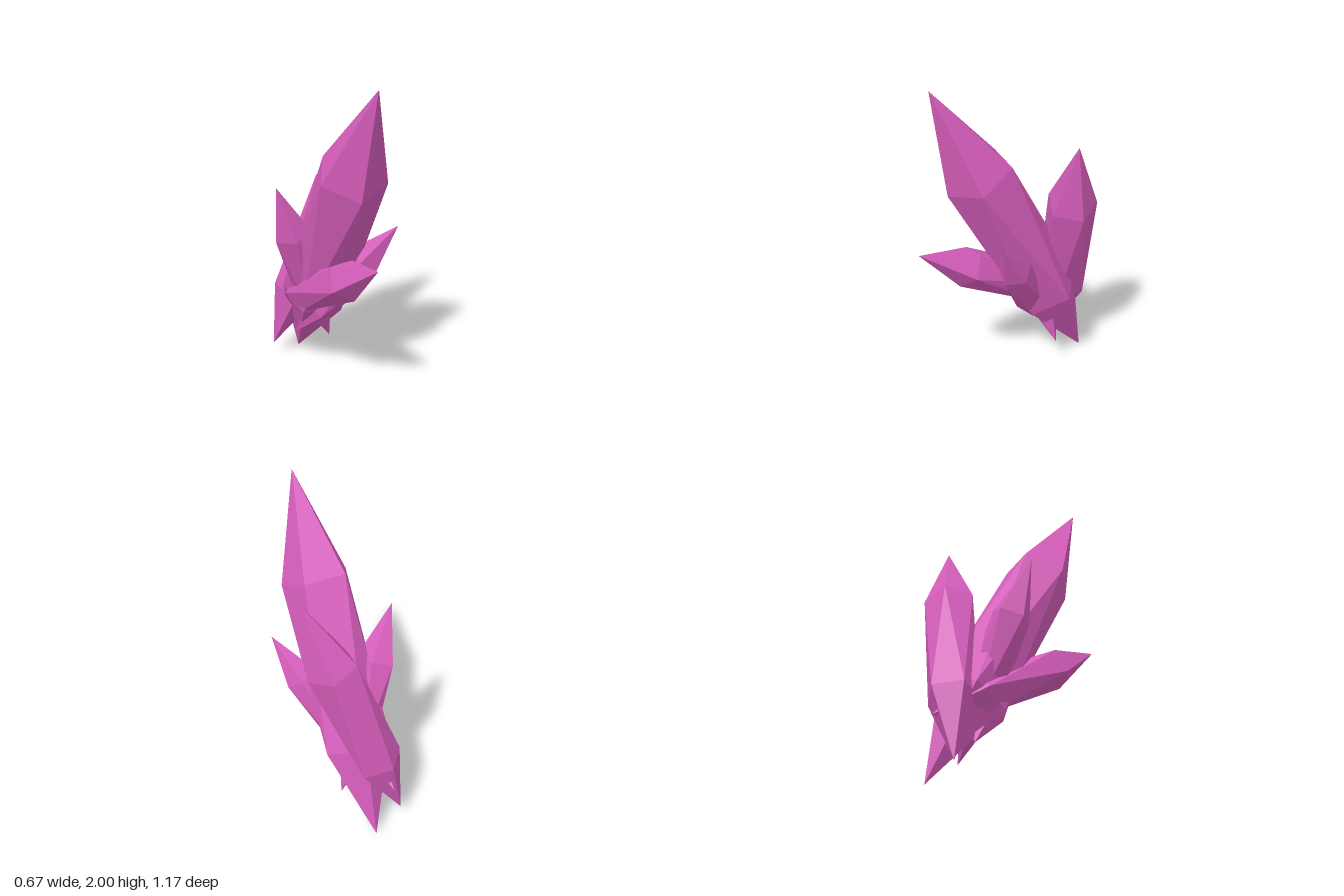
import * as THREE from 'three';

const SIDES = 5;
const RADIUS = 0.093; // ring radius relative to crystal length
const LOWER = 0.265, UPPER = 0.72; // ring positions along the axis

// Double-pointed crystal: two five-sided rings, the lower turned half a step.
// ridge is the rough direction from the axis to one corner of the upper ring.
function crystalGeometry(base, tip, ridge) {
  const axis = tip.clone().sub(base);
  const length = axis.length();
  const dir = axis.clone().normalize();
  const u = ridge.clone().projectOnPlane(dir).normalize();
  const v = dir.clone().cross(u);

  const ring = (t, turn) => Array.from({ length: SIDES }, (_, i) => {
    const a = ((i + turn) / SIDES) * Math.PI * 2;
    return base.clone().addScaledVector(axis, t)
      .addScaledVector(u, Math.cos(a) * RADIUS * length)
      .addScaledVector(v, Math.sin(a) * RADIUS * length);
  });
  const up = ring(UPPER, 0);
  const low = ring(LOWER, 0.5);

  const points = [];
  for (let i = 0; i < SIDES; i++) {
    const j = (i + 1) % SIDES;
    points.push(up[i], up[j], tip); // upper point
    points.push(up[i], low[i], up[j], low[i], low[j], up[j]); // shaft
    points.push(base, low[j], low[i]); // lower point
  }
  const geometry = new THREE.BufferGeometry().setFromPoints(points);
  geometry.computeVertexNormals();
  return geometry;
}

export function createModel() {
  const group = new THREE.Group();
  group.name = 'crystalCluster';
  const material = new THREE.MeshStandardMaterial({ color: 0xd95fbe, flatShading: true });

  // name, base point, tip point, ridge direction
  const crystals = [
    ['mainCrystal', [0.025, 0, -0.55], [-0.04, 2, 0.5], [0.18, -0.05, 0.09]],
    ['backCrystal', [-0.18, 0.09, -0.51], [0.335, 1.62, -0.225], [0.142, -0.05, 0.025]],
    ['frontCrystal', [-0.07, 0.35, -0.585], [-0.08, 1.02, 0.585], [0.01, -0.1, 0.07]],
    ['rightCrystal', [0.11, 0.18, -0.28], [-0.335, 1.33, -0.11], [-0.11, -0.04, 0]],
    ['leftCrystal', [-0.11, 0.24, -0.33], [0.27, 1.1, 0.25], [0.1, -0.03, 0]],
  ];
  for (const [name, base, tip, ridge] of crystals) {
    const [b, t, r] = [base, tip, ridge].map((p) => new THREE.Vector3(...p));
    const mesh = new THREE.Mesh(crystalGeometry(b, t, r), material);
    mesh.name = name;
    group.add(mesh);
  }
  return group;
}
